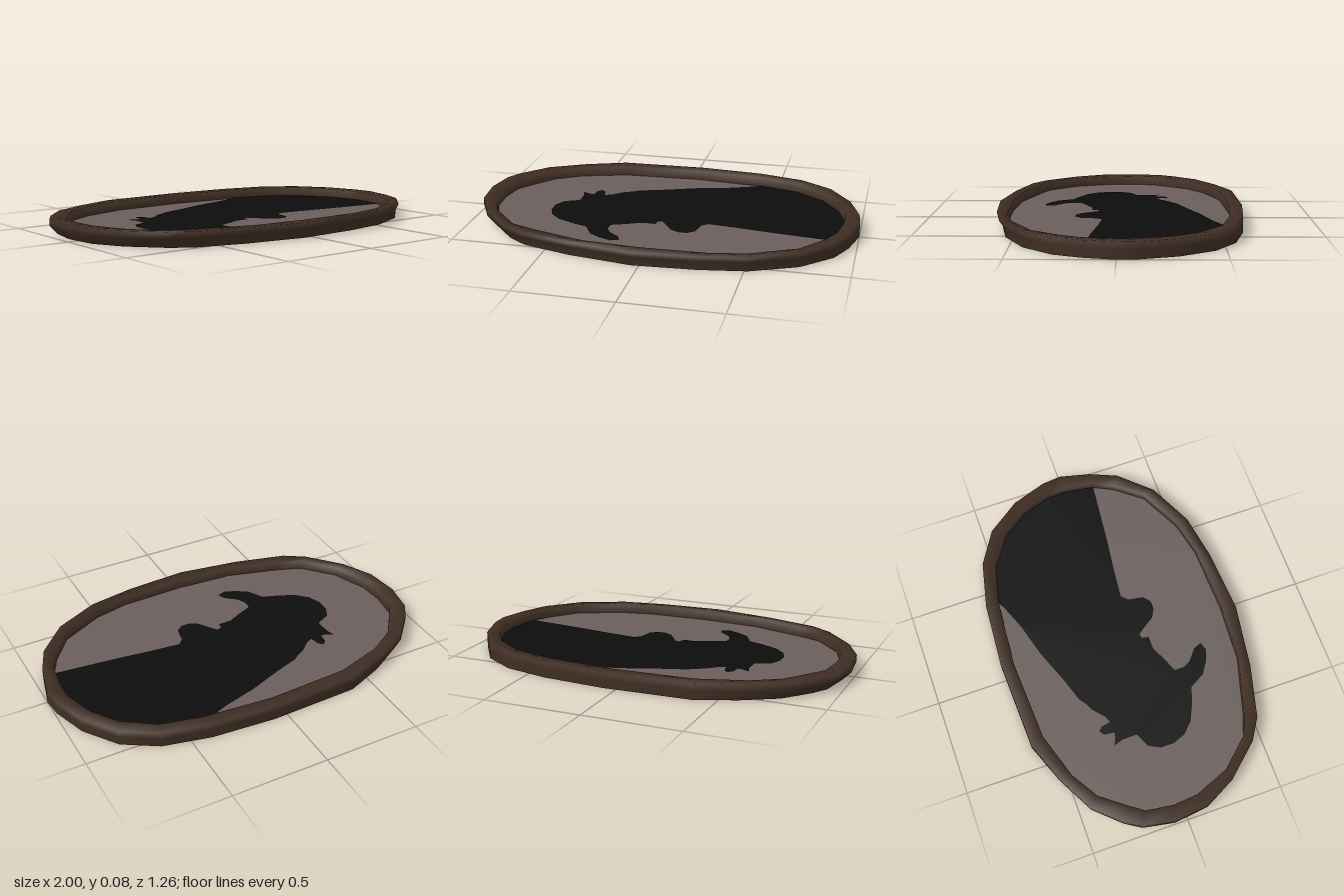
import * as THREE from 'three';

// Outlines as [x, z], clockwise seen from above; outer and inner points correspond.
const OUTER = [[-1, -.07], [-.97, -.23], [-.92, -.31], [-.8, -.44], [-.61, -.54], [-.39, -.62],
  [.07, -.635], [.4, -.61], [.64, -.555], [.81, -.45], [.93, -.28], [.99, -.1], [1, 0], [.96, .16],
  [.9, .3], [.75, .46], [.52, .57], [.28, .61], [-.04, .63], [-.37, .58], [-.64, .51], [-.75, .44],
  [-.9, .27], [-.98, .11]];
const INNER = [[-.92, -.05], [-.9, -.19], [-.85, -.26], [-.75, -.39], [-.61, -.475], [-.37, -.55],
  [.05, -.57], [.41, -.54], [.62, -.49], [.78, -.38], [.87, -.25], [.92, -.1], [.925, 0], [.9, .16],
  [.85, .26], [.74, .4], [.52, .51], [.34, .55], [0, .56], [-.3, .54], [-.58, .46], [-.7, .415],
  [-.84, .26], [-.91, .08]];

// Dark inlay: ragged left end, right end follows the inner wall.
const INLAY = [[.41, -.54], [.39, -.525], [.25, -.47], [.07, -.42], [-.1, -.355], [-.235, -.31],
  [-.27, -.285], [-.31, -.265], [-.365, -.215], [-.4, -.2], [-.41, -.25], [-.43, -.27], [-.455, -.25],
  [-.46, -.2], [-.48, -.2], [-.525, -.22], [-.51, -.17], [-.51, -.095], [-.585, -.06], [-.615, 0],
  [-.615, .07], [-.59, .135], [-.535, .19], [-.45, .23], [-.365, .26], [-.32, .34], [-.26, .38],
  [-.2, .405], [-.155, .39], [-.17, .35], [-.23, .3], [-.25, .26], [-.25, .21], [-.175, .18],
  [-.1, .145], [-.03, .145], [-.025, .11], [0, .105], [.025, .14], [.065, .2], [.11, .225],
  [.155, .225], [.19, .195], [.205, .115], [.235, .085], [.38, .1], [.57, .125], [.9, .16],
  [.925, 0], [.92, -.1], [.87, -.25], [.78, -.38], [.62, -.49]];

const FLOOR_Y = 0.03, RIM_Y = 0.08;

// Pull in the right end and the front to undercut the lower wall.
const undercut = (points, dx, dz) => points.map(([x, z]) => [
  x + dx * THREE.MathUtils.smoothstep(-x, 0.3, 0.95),
  z - dz * THREE.MathUtils.smoothstep(z, 0.1, 0.6)]);

// Skin a stack of matching closed outlines with smooth normals.
function loft(rings) {
  const n = rings[0].points.length, positions = [], index = [];
  for (const { points, y } of rings) for (const [x, z] of points) positions.push(x, y, z);
  for (let r = 0; r < rings.length - 1; r++) {
    for (let i = 0; i < n; i++) {
      const j = (i + 1) % n, a = r * n + i, b = r * n + j, c = a + n, d = b + n;
      index.push(a, c, b, b, c, d);
    }
  }
  const geometry = new THREE.BufferGeometry();
  geometry.setAttribute('position', new THREE.Float32BufferAttribute(positions, 3));
  geometry.setIndex(index);
  geometry.computeVertexNormals();
  return geometry;
}

// Flat horizontal sheet facing up (side = 1) or down (side = -1).
function sheet(points, y, side = 1) {
  const shape = new THREE.Shape(points.map(([x, z]) => new THREE.Vector2(x, -side * z)));
  return new THREE.ShapeGeometry(shape).rotateX(-side * Math.PI / 2).translate(0, y, 0);
}

export function createModel() {
  const paint = (name, color) => {
    const material = new THREE.MeshStandardMaterial({ color });
    material.name = name;
    return material;
  };
  const brown = paint('dark brown', 0x402e24);
  const grey = paint('warm grey', 0x6a5f5c);
  const black = paint('black', 0x0d0d0d);

  const group = new THREE.Group();
  group.name = 'ovalTray';
  const add = (name, geometry, material) => {
    const mesh = new THREE.Mesh(geometry, material);
    mesh.name = name;
    group.add(mesh);
  };

  // Rim: outer wall, top band and inner wall
  const base = undercut(OUTER, 0.045, 0.03);
  add('rim', loft([
    { points: base, y: 0 },
    { points: undercut(OUTER, 0, 0.025), y: 0.045 },
    { points: OUTER, y: RIM_Y },
    { points: INNER, y: RIM_Y },
    { points: INNER, y: FLOOR_Y },
  ]), brown);
  add('underside', sheet(base, 0, -1), brown);

  // Floor and its dark inlay
  add('floor', sheet(INNER, FLOOR_Y), grey);
  add('inlay', sheet(INLAY, FLOOR_Y + 0.003), black);
  return group;
}
